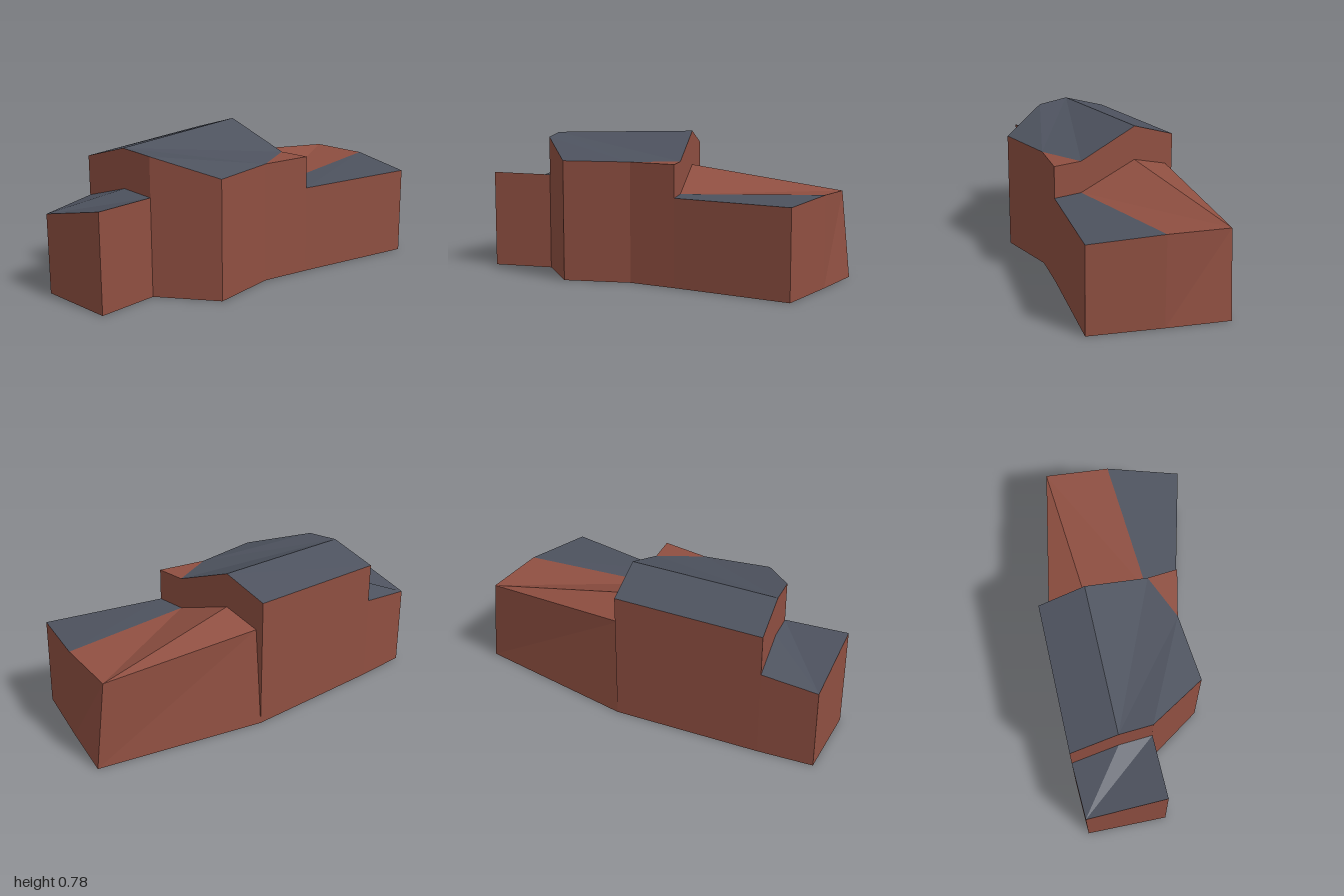
import * as THREE from 'three';

const brick = new THREE.MeshStandardMaterial({ color: 0x8f4f41 });
brick.name = 'brick red';
const slate = new THREE.MeshStandardMaterial({ color: 0x4d525e });
slate.name = 'slate grey';

// Flat-shaded mesh from polygons (arrays of [x, y, z], counter-clockwise from outside)
function polygonMesh(name, polygons, material) {
  const positions = [];
  for (const poly of polygons) {
    for (let i = 1; i < poly.length - 1; i++) positions.push(...poly[0], ...poly[i], ...poly[i + 1]);
  }
  const geometry = new THREE.BufferGeometry();
  geometry.setAttribute('position', new THREE.Float32BufferAttribute(positions, 3));
  geometry.computeVertexNormals();
  const mesh = new THREE.Mesh(geometry, material);
  mesh.name = name;
  return mesh;
}

// A building wing: corners are [x, z, eaveHeight, baseX?, baseZ?] in order
// front-left, front-right, back; roof faces index the corners.
function wing(name, corners, slateFaces, brickFaces, joinedWalls = []) {
  const top = corners.map(([x, z, y]) => [x, y, z]);
  const base = corners.map(([x, z, , bx = x, bz = z]) => [bx, 0, bz]);
  const walls = [];
  corners.forEach((_, i) => {
    const j = (i + 1) % corners.length;
    if (!joinedWalls.includes(i)) walls.push([base[i], base[j], top[j], top[i]]);
  });
  // floor triangulated through ShapeUtils, facing down
  const outline = base.map(([x, , z]) => new THREE.Vector2(x, -z));
  const floor = THREE.ShapeUtils.triangulateShape(outline, [])
    .map(([a, b, c]) => [base[a], base[c], base[b]]);
  const pick = (faces) => faces.map((face) => face.map((i) => top[i]));

  const group = new THREE.Group();
  group.name = name;
  group.add(polygonMesh(name + 'Walls', walls, brick));
  group.add(polygonMesh(name + 'Floor', floor, brick));
  group.add(polygonMesh(name + 'SlateRoof', pick(slateFaces), slate));
  if (brickFaces.length) group.add(polygonMesh(name + 'BrickRoof', pick(brickFaces), brick));
  return group;
}

export function createModel() {
  const model = new THREE.Group();
  model.name = 'house';

  // Tall central block with an off-centre ridge
  model.add(wing('mainBlock', [
    [-0.513, 0.665, 0.677], [-0.26, 0.665, 0.757], [-0.08, 0.665, 0.742],
    [0.237, 0.49, 0.643], [0.23, 0.127, 0.643], [0.31, -0.125, 0.643],
    [0.146, -0.125, 0.643], [-0.195, -0.125, 0.78], [-0.447, -0.125, 0.697],
  ], [[0, 1, 7, 8], [1, 2, 4], [2, 3, 4], [1, 4, 6], [1, 6, 7]], [[4, 5, 6]]));

  // Low front extension
  model.add(wing('frontExtension', [
    [-0.527, 0.957, 0.43], [-0.103, 1.0, 0.535], [-0.08, 0.665, 0.53],
    [-0.26, 0.665, 0.545], [-0.513, 0.665, 0.465],
  ], [[0, 1, 2], [0, 2, 3], [0, 3, 4]], [], [2, 3]));

  // Rear wing with a leaning left corner
  model.add(wing('rearWing', [
    [0.31, -0.125, 0.47], [0.527, -0.745, 0.47], [0.156, -0.885, 0.488],
    [-0.183, -0.953, 0.47, -0.167, -1.0], [-0.403, -0.125, 0.535, -0.447, -0.125],
    [-0.195, -0.125, 0.593], [0.146, -0.125, 0.47],
  ], [[0, 1, 2], [0, 2, 6]], [[2, 3, 6], [3, 5, 6], [3, 4, 5]], [4, 5, 6]));

  return model;
}
